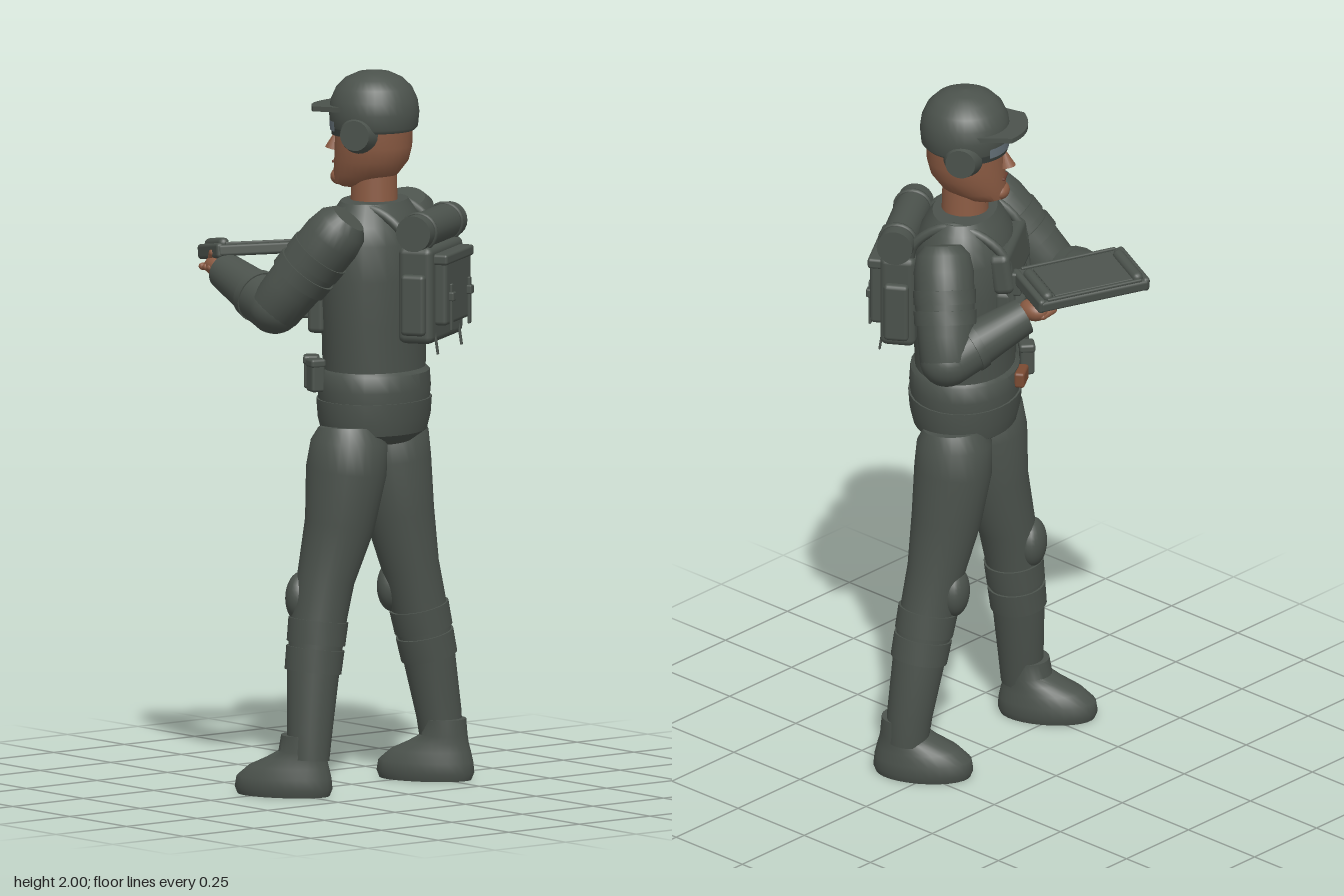
import * as THREE from 'three';
import { toCreasedNormals } from 'three/addons/utils/BufferGeometryUtils.js';
import { RoundedBoxGeometry } from 'three/addons/geometries/RoundedBoxGeometry.js';

const mat = (name, color, side = THREE.FrontSide) => {
  const m = new THREE.MeshStandardMaterial({ color, side });
  m.name = name;
  return m;
};
const V = (x, y, z) => new THREE.Vector3(x, y, z);
const YAW = Math.PI + 0.56; // the figure stands turned away from +z
const SEG = 28;

// Closed surface through rings of points, with flat caps.
function skin(rings) {
  const n = rings[0].length, pos = [], idx = [];
  rings.forEach(r => r.forEach(p => pos.push(p.x, p.y, p.z)));
  for (let i = 0; i < rings.length - 1; i++) for (let j = 0; j < n; j++) {
    const k = (j + 1) % n, a = i * n + j, b = i * n + k;
    idx.push(a, b, a + n, b, b + n, a + n);
  }
  [0, rings.length - 1].forEach((ri, top) => {
    const c = rings[ri].reduce((s, p) => s.add(p), V(0, 0, 0)).divideScalar(n);
    const ci = pos.length / 3;
    pos.push(c.x, c.y, c.z);
    for (let j = 0; j < n; j++) {
      const a = ri * n + j, b = ri * n + (j + 1) % n;
      top ? idx.push(ci, a, b) : idx.push(ci, b, a);
    }
  });
  const g = new THREE.BufferGeometry();
  g.setAttribute('position', new THREE.Float32BufferAttribute(pos, 3));
  g.setIndex(idx);
  return toCreasedNormals(g, 0.7);
}

// Upright body from elliptical sections [y, centreZ, halfWidth, halfDepth].
const loft = sections => skin(sections.map(([y, cz, rx, rz]) =>
  Array.from({ length: SEG }, (_, j) => {
    const a = j / SEG * Math.PI * 2;
    return V(Math.sin(a) * rx, y, cz + Math.cos(a) * rz);
  })));

// Round limb through points [x, y, z, radius].
function limb(pts) {
  const p = pts.map(q => V(q[0], q[1], q[2]));
  return skin(p.map((c, i) => {
    const t = p[Math.min(i + 1, p.length - 1)].clone().sub(p[Math.max(i - 1, 0)]).normalize();
    const q = new THREE.Quaternion().setFromUnitVectors(V(0, 1, 0), t);
    return Array.from({ length: SEG }, (_, j) => {
      const a = j / SEG * Math.PI * 2, r = pts[i][3];
      return V(Math.sin(a) * r, 0, Math.cos(a) * r).applyQuaternion(q).add(c);
    });
  }));
}
const mix = (a, b, t) => a.map((v, i) => v + (b[i] - v) * t);

export function createModel() {
  const root = new THREE.Group();
  root.name = 'fieldTechnician';
  const cloth = mat('uniform', 0x4b524c), clothThin = mat('goggleFrame', 0x343a37, THREE.DoubleSide);
  const flesh = mat('skin', 0x8b5b43), lens = mat('lens', 0x66727a, THREE.DoubleSide);
  const leather = mat('leather', 0x7a4a32), lip = mat('lips', 0x6a3d30);

  const add = (parent, name, geo, m, p = [0, 0, 0], s = [1, 1, 1], r = [0, 0, 0]) => {
    const mesh = new THREE.Mesh(geo, m);
    mesh.name = name;
    mesh.position.set(...p);
    mesh.scale.set(...s);
    mesh.rotation.set(...r);
    parent.add(mesh);
    return mesh;
  };
  const box = (w, h, d, r = 0.008) => new RoundedBoxGeometry(w, h, d, 2, r);
  const ball = new THREE.SphereGeometry(1, 24, 16);

  // Torso, head and pack share a frame in which +z is the way the figure faces.
  const body = new THREE.Group();
  body.name = 'upperBody';
  body.position.set(0.012, 0, 0.083);
  body.rotation.y = YAW;
  root.add(body);

  add(body, 'hips', loft([[0.97, 0, 0.13, 0.1], [1.0, 0, 0.178, 0.142], [1.04, 0, 0.187, 0.152],
    [1.09, 0, 0.188, 0.156]]), cloth);
  add(body, 'belt', loft([[1.085, 0, 0.183, 0.15], [1.12, 0, 0.186, 0.153], [1.165, 0, 0.182, 0.15],
    [1.175, 0, 0.174, 0.14]]), cloth);
  add(body, 'torso', loft([[1.17, 0, 0.174, 0.138], [1.3, 0, 0.184, 0.14], [1.43, 0, 0.192, 0.145],
    [1.53, 0, 0.19, 0.14], [1.58, 0, 0.175, 0.125], [1.615, 0, 0.15, 0.105], [1.64, 0, 0.13, 0.088]]), cloth);

  // Chest armour and pouches
  add(body, 'chestPlate', box(0.27, 0.12, 0.06, 0.02), cloth, [0, 1.5, 0.125], [1, 1, 1], [-0.15, 0, 0]);
  add(body, 'vestPanel', box(0.25, 0.17, 0.05, 0.015), cloth, [0, 1.36, 0.13]);
  for (const x of [-0.085, 0, 0.085]) {
    add(body, 'vestPouch', box(0.07, 0.09, 0.035), cloth, [x, 1.36, 0.163]);
    add(body, 'vestPouchFlap', box(0.074, 0.03, 0.04), cloth, [x, 1.4, 0.164]);
  }
  add(body, 'chestRadio', box(0.04, 0.07, 0.03), cloth, [-0.1, 1.47, 0.165]);

  // Belt pouches
  add(body, 'leatherPouch', box(0.07, 0.045, 0.03), leather, [-0.01, 1.14, 0.16]);
  for (const [x, z, a] of [[0.068, 0.16, 0.3], [0.132, 0.125, 0.75]]) {
    add(body, 'beltPouch', box(0.045, 0.09, 0.04), cloth, [x, 1.16, z], [1, 1, 1], [0, a, 0]);
    add(body, 'beltPouchFlap', box(0.049, 0.025, 0.045), cloth, [x, 1.195, z], [1, 1, 1], [0, a, 0]);
  }

  // Backpack with bedroll
  const pack = new THREE.Group();
  pack.name = 'backpack';
  body.add(pack);
  add(pack, 'packBody', box(0.28, 0.27, 0.1, 0.02), cloth, [0, 1.395, -0.165]);
  add(pack, 'packPocket', box(0.215, 0.19, 0.04, 0.012), cloth, [0, 1.405, -0.228]);
  add(pack, 'packFlap', box(0.23, 0.03, 0.05), cloth, [0, 1.495, -0.228]);
  add(pack, 'bedroll', new THREE.CylinderGeometry(0.05, 0.05, 0.315, 24), cloth, [0, 1.57, -0.168],
    [1, 1, 1], [0, 0, Math.PI / 2]);
  for (const s of [-1, 1]) {
    add(pack, 'bedrollStrap', new THREE.TorusGeometry(0.051, 0.005, 6, 24), cloth, [s * 0.11, 1.57, -0.168],
      [1, 1, 2], [0, Math.PI / 2, 0]);
    add(pack, 'packStrap', box(0.016, 0.13, 0.008, 0.003), cloth, [s * 0.075, 1.36, -0.252]);
    add(pack, 'packBuckle', box(0.024, 0.025, 0.016, 0.004), cloth, [s * 0.075, 1.39, -0.254]);
    add(pack, 'strapTail', box(0.01, 0.08, 0.006, 0.002), cloth, [s * 0.1, 1.27, -0.215], [1, 1, 1], [0.15, 0, 0]);
    add(pack, 'packSidePocket', box(0.03, 0.17, 0.07, 0.012), cloth, [s * 0.145, 1.37, -0.165]);
    const path = new THREE.CatmullRomCurve3([V(s * 0.1, 1.45, -0.135), V(s * 0.115, 1.56, -0.125),
      V(s * 0.115, 1.625, -0.04), V(s * 0.115, 1.62, 0.04), V(s * 0.11, 1.55, 0.13), V(s * 0.11, 1.42, 0.15)]);
    add(pack, 'shoulderStrap', new THREE.TubeGeometry(path, 24, 0.014, 8), cloth);
  }

  // Head
  add(body, 'neck', new THREE.CylinderGeometry(0.062, 0.066, 0.13, 24), flesh, [0, 1.67, 0]);
  add(body, 'head', loft([[1.675, 0.055, 0.035, 0.04], [1.685, 0.05, 0.055, 0.065], [1.71, 0.025, 0.076, 0.09],
    [1.75, 0.008, 0.092, 0.104], [1.79, 0.002, 0.101, 0.108], [1.86, 0, 0.104, 0.108]]), flesh);
  add(body, 'nose', new THREE.ConeGeometry(0.02, 0.06, 12), flesh, [0, 1.805, 0.113], [1, 1, 1.2], [-0.2, 0, 0]);
  add(body, 'chin', ball, flesh, [0, 1.7, 0.1], [0.035, 0.024, 0.025]);
  add(body, 'mouth', box(0.045, 0.008, 0.009, 0.003), lip, [0, 1.742, 0.112]);
  add(body, 'goggleBand', new THREE.CylinderGeometry(0.116, 0.114, 0.055, 24, 1, true, -1.3, 2.6), clothThin, [0, 1.85, 0.004]);
  add(body, 'goggleLens', new THREE.CylinderGeometry(0.12, 0.118, 0.028, 24, 1, true, -0.8, 1.6), lens, [0, 1.848, 0.004]);
  const dome = [[0.112, 1.835], [0.121, 1.845], [0.125, 1.885], [0.12, 1.92], [0.105, 1.953], [0.08, 1.978],
    [0.045, 1.994], [0, 2]].map(q => new THREE.Vector2(...q));
  add(body, 'helmet', new THREE.LatheGeometry(dome, 36), cloth);
  add(body, 'helmetLining', new THREE.CylinderGeometry(0.113, 0.111, 0.02, 32), cloth, [0, 1.866, -0.003]);
  const brim = new THREE.Shape();
  brim.moveTo(-0.115, 0.03);
  brim.lineTo(-0.085, 0.15);
  brim.quadraticCurveTo(0, 0.2, 0.085, 0.15);
  brim.lineTo(0.115, 0.03);
  const brimGeo = new THREE.ExtrudeGeometry(brim, { depth: 0.014, bevelEnabled: false });
  add(body, 'helmetBrim', brimGeo, cloth, [0, 1.908, 0], [1, 1, 1], [Math.PI / 2 + 0.04, 0, 0]);
  for (const s of [-1, 1]) {
    add(body, 'earCup', new THREE.CylinderGeometry(0.042, 0.056, 0.04, 24), cloth, [s * 0.112, 1.832, 0.012],
      [1, 1, 1], [0, 0, -s * Math.PI / 2]);
  }

  // Legs, boots and knee pads
  const legs = [
    { side: 'left', foot: [-0.27, 0, 0.035], pad: [-0.213, 0.545, 0.042],
      pts: [[-0.235, 0.1, 0.1, 0.058], [-0.228, 0.18, 0.097, 0.063], [-0.208, 0.35, 0.088, 0.073],
        [-0.192, 0.48, 0.09, 0.077], [-0.168, 0.6, 0.094, 0.08], [-0.132, 0.75, 0.11, 0.097],
        [-0.118, 0.9, 0.122, 0.112], [-0.112, 0.98, 0.127, 0.106], [-0.11, 1.02, 0.125, 0.085]] },
    { side: 'right', foot: [0.235, 0, 0.032], pad: [0.152, 0.54, -0.008],
      pts: [[0.268, 0.1, 0.062, 0.058], [0.262, 0.18, 0.058, 0.063], [0.232, 0.35, 0.05, 0.073],
        [0.202, 0.48, 0.046, 0.077], [0.175, 0.6, 0.04, 0.08], [0.144, 0.75, 0.03, 0.097],
        [0.125, 0.9, 0.022, 0.108], [0.122, 0.98, 0.02, 0.104], [0.12, 1.02, 0.024, 0.085]] }
  ];
  for (const { side, foot, pad, pts } of legs) {
    add(root, side + 'Leg', limb(pts), cloth);
    for (const [t, h] of [[0.1, 0.3], [0.7, 0.9]]) { // shin guard bands
      const band = [mix(pts[2], pts[3], t - 0.15), mix(pts[2], pts[3], h + 0.15)];
      band.forEach(q => { q[3] += 0.006; });
      add(root, side + 'ShinBand', limb(band), cloth);
    }
    add(root, side + 'KneePad', ball, cloth, pad, [0.062, 0.072, 0.042], [0, YAW, 0]);
    add(root, side + 'Boot', loft([[0, 0, 0.074, 0.132], [0.02, 0, 0.081, 0.14], [0.05, -0.001, 0.079, 0.136],
      [0.08, -0.015, 0.071, 0.115], [0.105, -0.038, 0.064, 0.085], [0.125, -0.054, 0.061, 0.066],
      [0.17, -0.056, 0.06, 0.06]]), cloth, foot, [1, 1, 1], [0, YAW, 0]);
  }

  // Arms
  const arms = [
    { side: 'left', shoulder: [-0.185, 1.585, 0.178], elbow: [-0.292, 1.355, 0.025], wrist: [-0.268, 1.43, -0.225] },
    { side: 'right', shoulder: [0.212, 1.585, -0.022], elbow: [0.287, 1.325, -0.105], wrist: [0.07, 1.415, -0.19] }
  ];
  for (const { side, shoulder, elbow, wrist } of arms) {
    const up = (t, r) => [...mix(shoulder, elbow, t), r], fore = (t, r) => [...mix(elbow, wrist, t), r];
    add(root, side + 'UpperArm', limb([up(-0.13, 0.052), up(-0.04, 0.074), up(0.12, 0.083), up(0.4, 0.083),
      up(0.75, 0.078), up(1, 0.074), up(1.1, 0.062)]), cloth);
    for (const t of [0.3, 0.5]) add(root, side + 'ShoulderBand', limb([up(t, 0.087), up(t + 0.14, 0.086)]), cloth);
    add(root, side + 'Elbow', ball, cloth, elbow, [0.074, 0.07, 0.074]);
    add(root, side + 'Forearm', limb([fore(0, 0.072), fore(0.3, 0.069), fore(0.6, 0.061), fore(1, 0.052)]), cloth);
    add(root, side + 'ElbowBand', limb([fore(0.3, 0.073), fore(0.4, 0.071)]), cloth);
    const palm = mix(elbow, wrist, 1.14);
    add(root, side + 'Hand', ball, flesh, palm, [0.034, 0.03, 0.044]);
    for (let i = 0; i < 4; i++) { // fingers under the tablet edge
      const a = [palm[0] + (side === 'left' ? -0.005 : -0.02), palm[1] - 0.006, palm[2] - 0.036 + i * 0.018];
      add(root, side + 'Finger', new THREE.CapsuleGeometry(0.01, 0.045, 4, 8), flesh, a, [1, 1, 1], [0, 0, 1.45]);
    }
    add(root, side + 'Thumb', new THREE.CapsuleGeometry(0.012, 0.03, 4, 8), flesh,
      [palm[0] - 0.012, palm[1] + 0.025, palm[2] - 0.01], [1, 1, 1], [0.6, 0, 0.3]);
  }

  // Handheld tablet
  const tablet = new THREE.Group();
  tablet.name = 'tablet';
  tablet.position.set(-0.113, 1.477, -0.238);
  tablet.rotation.set(-0.15, -0.36, 0, 'YXZ');
  root.add(tablet);
  add(tablet, 'tabletCase', box(0.33, 0.032, 0.185), cloth);
  add(tablet, 'tabletScreen', box(0.24, 0.006, 0.145, 0.003), cloth, [-0.005, 0.017, 0]);
  for (const s of [-1, 1]) {
    add(tablet, 'tabletRail', box(0.29, 0.01, 0.01, 0.004), cloth, [0, 0.018, s * 0.083]);
    add(tablet, 'tabletGrip', new THREE.CapsuleGeometry(0.016, 0.115, 6, 12), cloth, [s * 0.138, 0.02, -0.01],
      [1, 1, 1], [Math.PI / 2, 0, 0]);
    add(tablet, 'tabletBumper', box(0.022, 0.042, 0.18, 0.01), cloth, [s * 0.16, 0, 0]);
  }
  return root;
}
